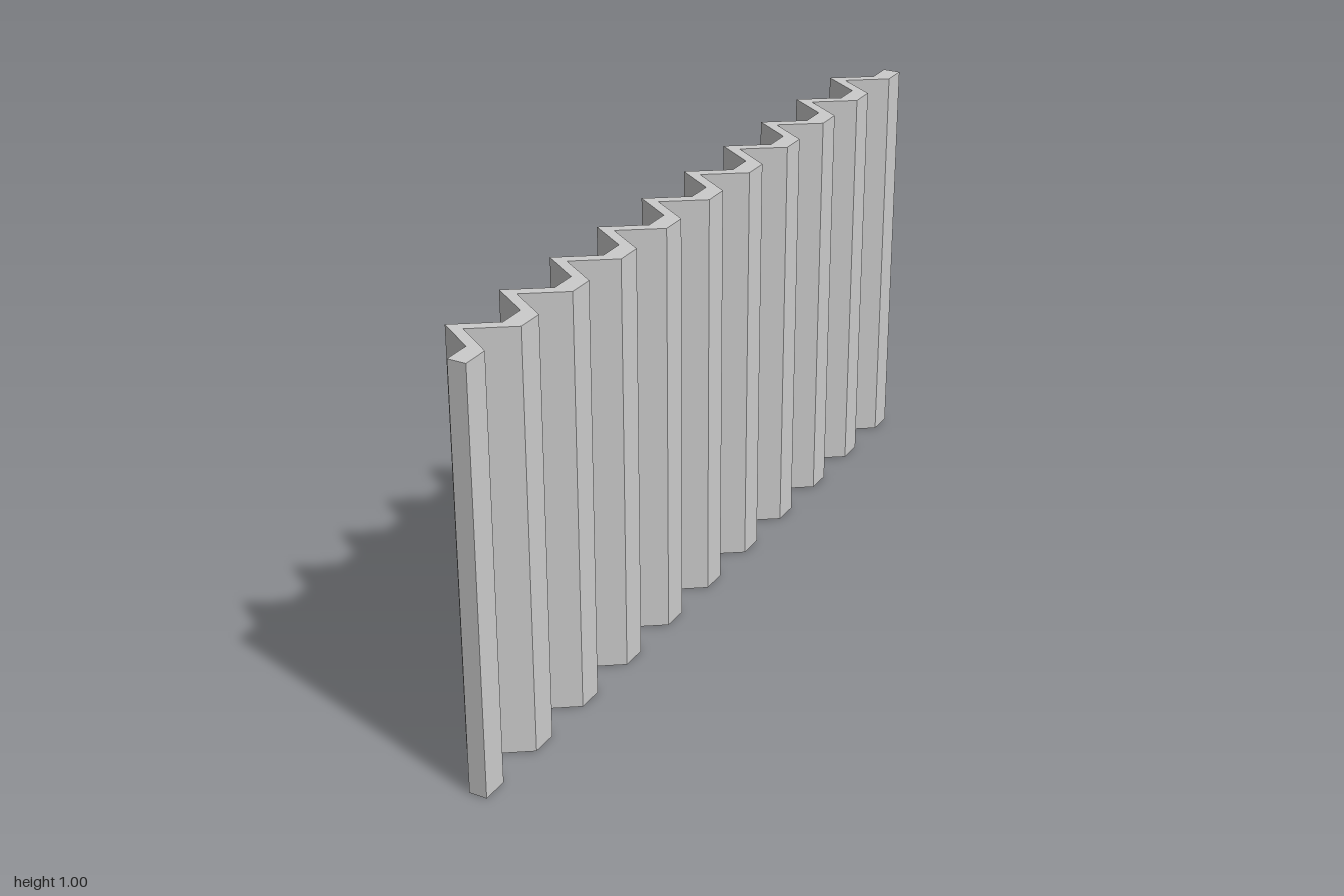
import * as THREE from 'three';

export function createModel() {
  const folds = 10, height = 1, length = 2;
  const crest = 0.068, valley = -0.025, thickness = 0.043;
  const step = length / (folds * 3 + 1);

  // One face of the sheet: flat crest, V-shaped valley, flat crest, ...
  const face = [[crest, -length / 2]];
  for (let i = 0; i < folds; i++) {
    const start = -length / 2 + (3 * i + 1) * step;
    face.push([crest, start], [valley, start + step], [crest, start + 2 * step]);
  }
  face.push([crest, length / 2]);

  // Close the outline with the same face shifted sideways
  const back = face.map(([x, z]) => [x - thickness, z]).reverse();
  const outline = [...face, ...back].map(([x, z]) => new THREE.Vector2(x, z));

  const geometry = new THREE.ExtrudeGeometry(new THREE.Shape(outline), {
    depth: height, bevelEnabled: false,
  });
  geometry.rotateX(-Math.PI / 2);

  const panel = new THREE.Mesh(geometry, new THREE.MeshStandardMaterial({ color: 0xcccccc }));
  panel.name = 'corrugatedPanel';

  const group = new THREE.Group();
  group.name = 'corrugatedWall';
  group.add(panel);
  return group;
}
